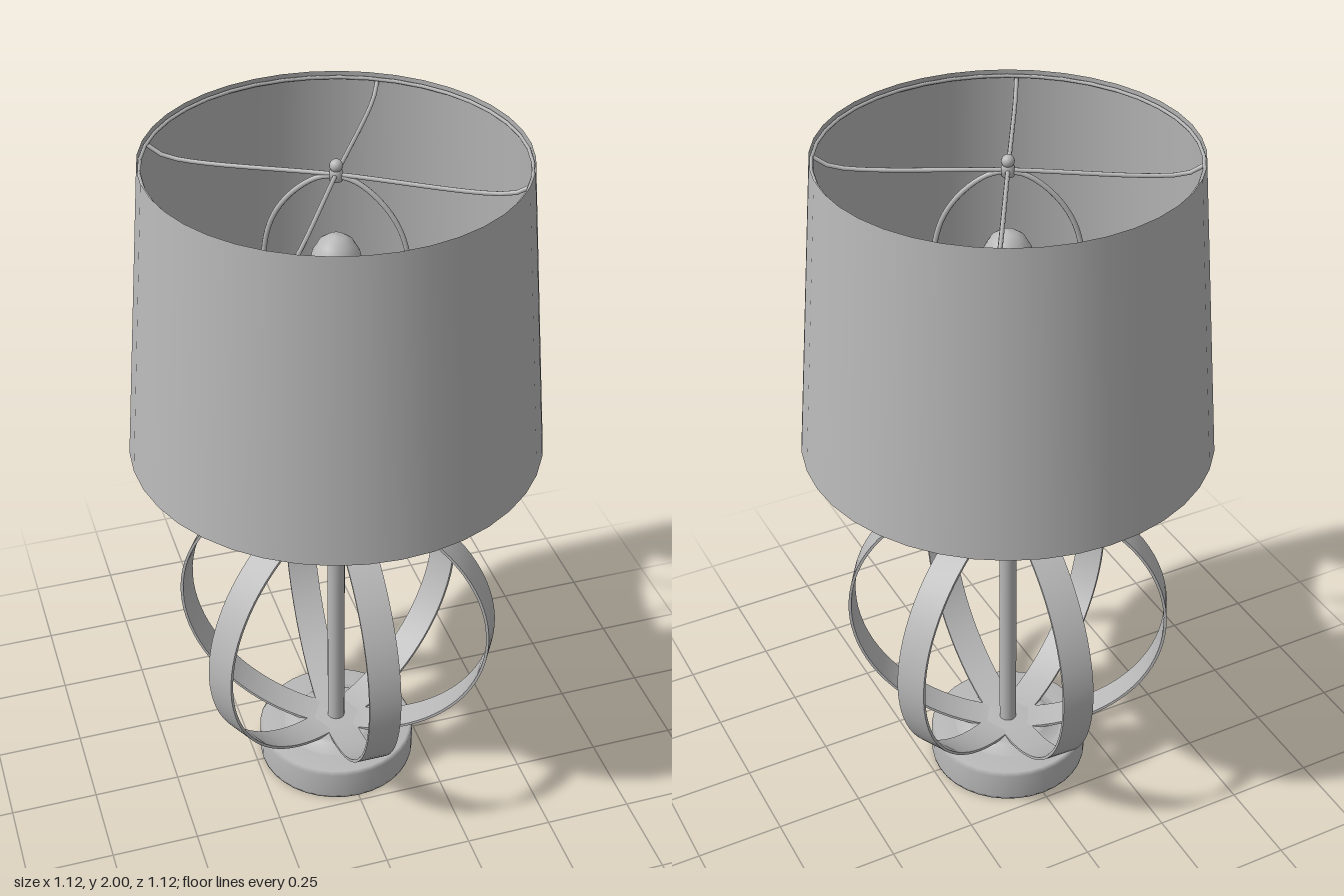
import * as THREE from 'three';

const grey = new THREE.MeshStandardMaterial({ color: 0xb8b8b8, side: THREE.DoubleSide });
grey.name = 'plain grey';

const v2 = (pts) => pts.map(([x, y]) => new THREE.Vector2(x, y));

export function createModel() {
  const lamp = new THREE.Group();
  lamp.name = 'tableLamp';

  const add = (name, geometry) => {
    const mesh = new THREE.Mesh(geometry, grey);
    mesh.name = name;
    lamp.add(mesh);
    return mesh;
  };
  const turned = (name, pts, segments = 36) => add(name, new THREE.LatheGeometry(v2(pts), segments));

  // Round foot with a low raised boss
  turned('base', [[0, 0], [0.23, 0], [0.232, 0.01], [0.232, 0.09], [0.224, 0.102], [0.14, 0.104]]);
  turned('baseBoss', [[0.17, 0.102], [0.14, 0.106], [0.125, 0.12], [0.11, 0.125], [0, 0.125]]);

  // Thin pole through the cage, collar above it, thicker neck and socket
  turned('pole', [[0.025, 0.12], [0.025, 0.98]], 20);
  turned('collar', [[0, 0.965], [0.1, 0.967], [0.117, 0.975], [0.12, 0.988], [0.117, 1.0],
    [0.1, 1.008], [0.05, 1.01], [0.04, 1.02]]);
  turned('neck', [[0.038, 1.0], [0.038, 1.4], [0.03, 1.42], [0, 1.42]], 20);
  turned('socket', [[0.026, 1.41], [0.026, 1.5]], 20);

  // Bulb
  turned('bulb', [[0.026, 1.49], [0.03, 1.53], [0.052, 1.59], [0.068, 1.65], [0.07, 1.69],
    [0.062, 1.73], [0.045, 1.76], [0.023, 1.776], [0, 1.78]], 24);

  // Six curved flat bands forming the open globe
  const bandEnds = [[0.02, -0.46], [0, 0.46], [0.41, -0.21], [-0.405, 0.22], [0.39, 0.24], [-0.39, -0.24]];
  const reach = THREE.MathUtils.degToRad(85);
  const band = new THREE.BoxGeometry(0.09, 2, 0.008, 1, 40, 1);
  const p = band.attributes.position;
  for (let i = 0; i < p.count; i++) {
    const a = p.getY(i) * reach;
    const depth = p.getZ(i);
    p.setY(i, 0.545 + (0.428 + depth) * Math.sin(a));
    p.setZ(i, (0.456 + depth) * Math.cos(a));
  }
  band.computeVertexNormals();
  for (const [x, z] of bandEnds) add('cageBand', band).rotation.y = Math.atan2(x, z);

  // Tapered open drum shade with wire hoops at both rims
  turned('shade', [[0.56, 1.16], [0.525, 1.58], [0.49, 2.0]], 40);
  for (const [radius, y] of [[0.484, 1.985], [0.554, 1.167]]) {
    const hoop = add('shadeHoop', new THREE.TorusGeometry(radius, 0.005, 6, 40));
    hoop.rotation.x = Math.PI / 2;
    hoop.position.y = y;
  }

  // Four spokes from the hub to the upper hoop
  const tilt = -Math.PI / 6;
  for (let i = 0; i < 4; i++) {
    const angle = tilt + i * Math.PI / 2;
    const dir = new THREE.Vector3(Math.cos(angle), 0, -Math.sin(angle));
    const path = new THREE.CatmullRomCurve3([
      new THREE.Vector3(0, 1.95, 0),
      dir.clone().multiplyScalar(0.44).setY(1.95),
      dir.clone().multiplyScalar(0.485).setY(1.975),
    ]);
    add('shadeSpoke', new THREE.TubeGeometry(path, 12, 0.006, 8));
  }

  // Wire harp around the bulb, lying in line with one pair of spokes
  const side = [[0, 1.46], [0.09, 1.46], [0.128, 1.465], [0.135, 1.5], [0.17, 1.6], [0.19, 1.69],
    [0.17, 1.8], [0.12, 1.88], [0.05, 1.935]];
  const loop = [...side, [0, 1.945], ...side.slice(1).reverse().map(([x, y]) => [-x, y])];
  const harpPath = new THREE.CatmullRomCurve3(loop.map(([x, y]) => new THREE.Vector3(x, y, 0)), true);
  add('harp', new THREE.TubeGeometry(harpPath, 80, 0.007, 8, true)).rotation.y = tilt;

  // Hub and finial
  turned('hub', [[0, 1.935], [0.017, 1.935], [0.017, 1.96], [0.008, 1.965]], 16);
  add('finial', new THREE.SphereGeometry(0.017, 16, 12)).position.y = 1.974;

  return lamp;
}
